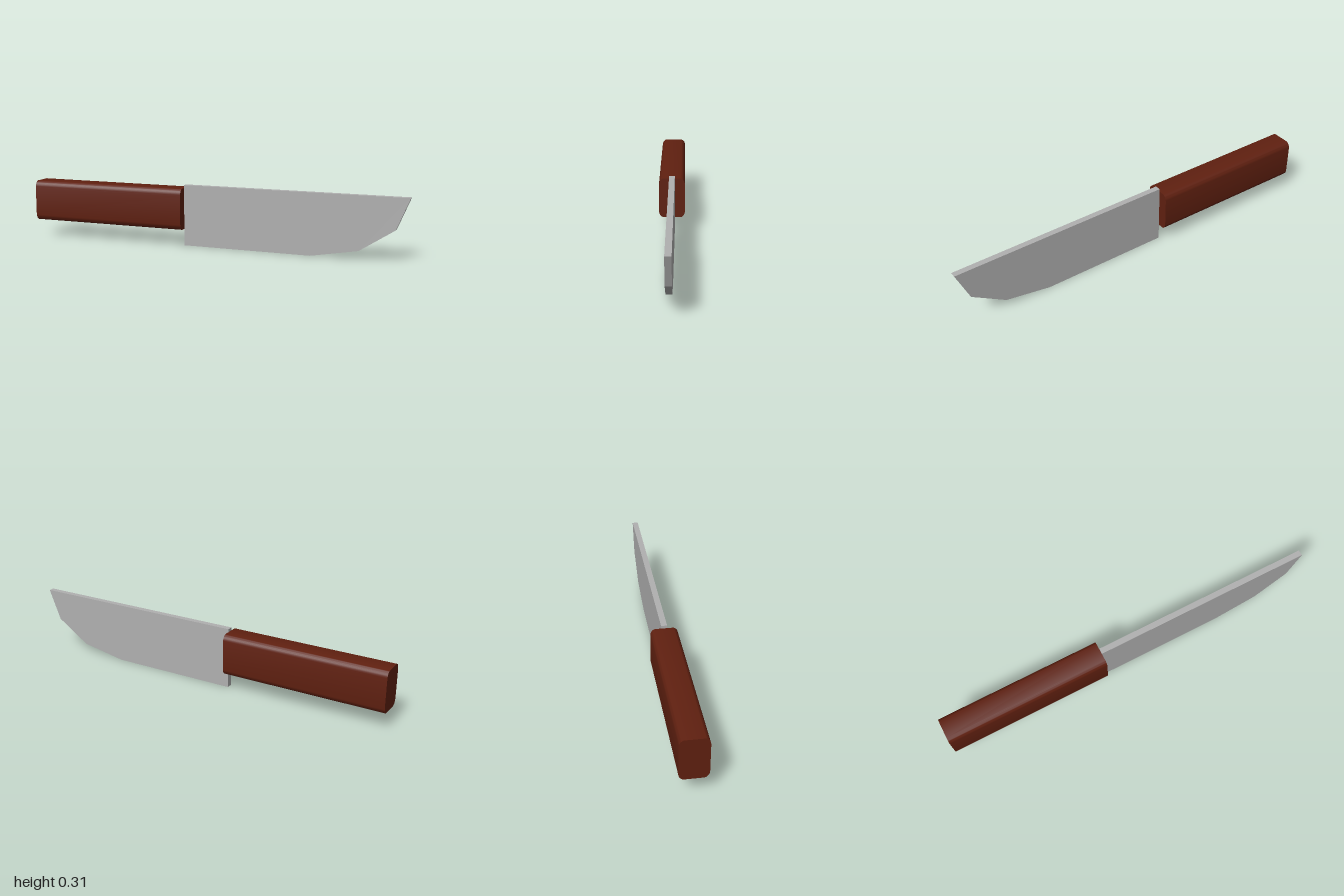
import * as THREE from 'three';
import { toCreasedNormals } from 'three/addons/utils/BufferGeometryUtils.js';

const steel = new THREE.MeshStandardMaterial({ color: 0xb0b0b0 });
steel.name = 'steel';
const wood = new THREE.MeshStandardMaterial({ color: 0x602010 });
wood.name = 'wood';

// Rounded rectangle centred on the origin, with elliptical corners
function roundedSection(halfW, halfH, rx, ry) {
  const s = new THREE.Shape();
  const cx = halfW - rx, cy = halfH - ry, q = Math.PI / 2;
  s.moveTo(halfW, -cy);
  [[cx, cy], [-cx, cy], [-cx, -cy], [cx, -cy]].forEach(([x, y], i) => {
    s.absellipse(x, y, rx, ry, i * q, (i + 1) * q, false, 0);
  });
  return s;
}

export function createModel() {
  const knife = new THREE.Group();
  knife.name = 'knife';

  // Blade: flat plate with a straight spine and a faceted curved edge
  const thickness = 0.03;
  const outline = [
    [-0.15, 0], [0.52, 0], [0.76, 0.043], [0.935, 0.157], [1, 0.315], [-0.15, 0.315],
  ].map(([x, y]) => new THREE.Vector2(x, y));
  const bladeGeometry = new THREE.ExtrudeGeometry(new THREE.Shape(outline), {
    depth: thickness, bevelEnabled: false,
  });
  bladeGeometry.translate(0, 0, -thickness / 2);
  const blade = new THREE.Mesh(bladeGeometry, steel);
  blade.name = 'blade';
  knife.add(blade);

  // Handle: rounded bar running along x behind the blade
  const length = 0.85;
  const bar = new THREE.ExtrudeGeometry(roundedSection(0.0685, 0.1065, 0.026, 0.036), {
    depth: length, bevelEnabled: false, curveSegments: 4,
  });
  bar.rotateY(Math.PI / 2);
  const handle = new THREE.Mesh(toCreasedNormals(bar, 0.7), wood);
  handle.name = 'handle';
  handle.position.set(-1, 0.1935, 0);
  knife.add(handle);

  return knife;
}
